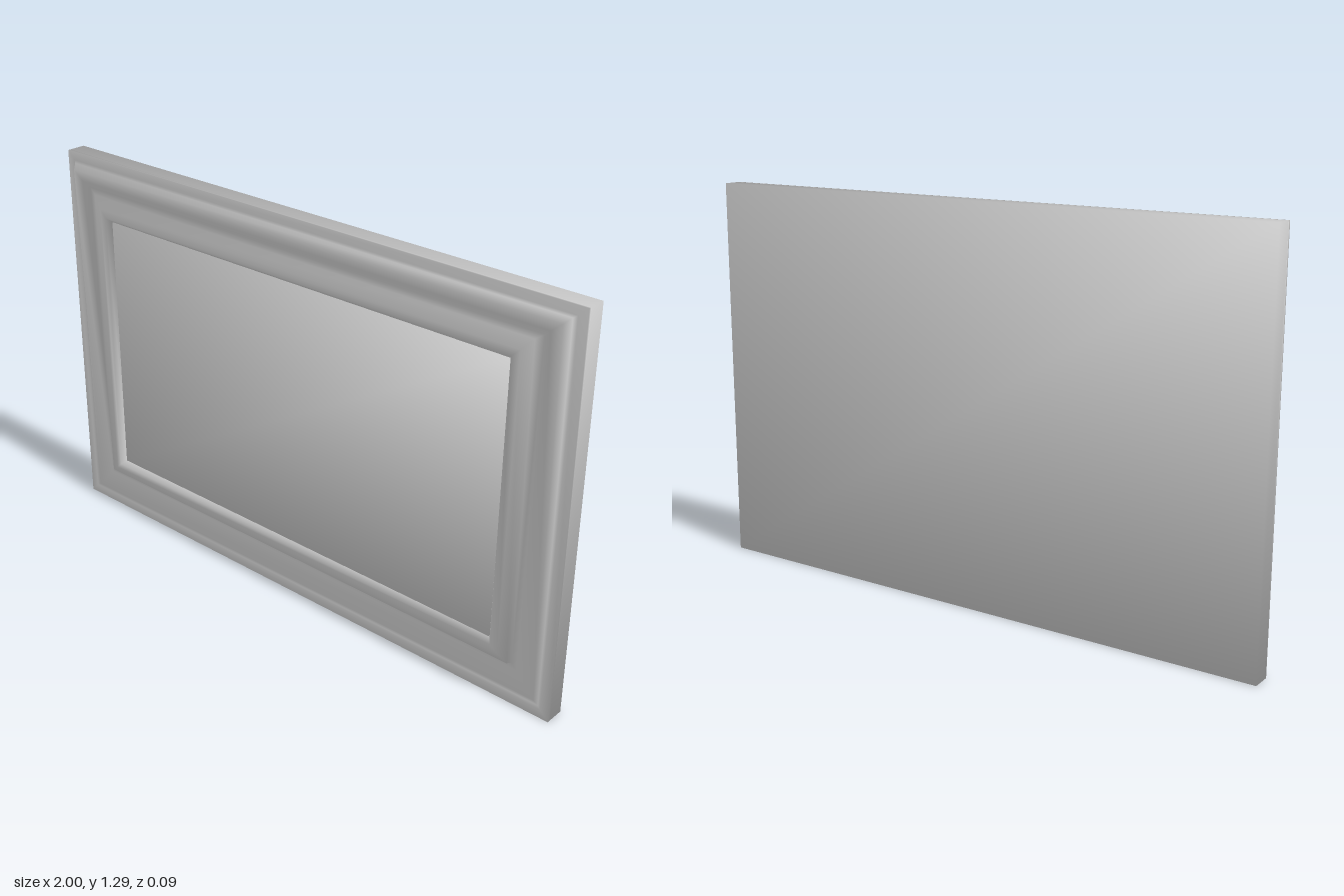
import * as THREE from 'three';

const HEIGHT = 1.295;

// Box whose corner normals point diagonally outward, giving soft shading
function softBox(width, height, depth) {
  const geometry = new THREE.BoxGeometry(width, height, depth);
  const p = geometry.attributes.position;
  const n = geometry.attributes.normal;
  const k = 1 / Math.sqrt(3);
  for (let i = 0; i < p.count; i++) {
    n.setXYZ(i, k * Math.sign(p.getX(i)), k * Math.sign(p.getY(i)), k * Math.sign(p.getZ(i)));
  }
  return geometry;
}

// Rectangular rings joined from the outer edge to the inner opening.
// Each ring: [half width, y, z] at the top corners, then at the bottom corners
function mouldingGeometry(rings) {
  const positions = [];
  const index = [];
  for (const [wt, yt, zt, wb, yb, zb] of rings) {
    positions.push(wt, yt, zt, -wt, yt, zt, -wb, yb, zb, wb, yb, zb);
  }
  for (let r = 0; r < rings.length - 1; r++) {
    for (let i = 0; i < 4; i++) {
      const a = r * 4 + i;
      const b = r * 4 + ((i + 1) % 4);
      index.push(a, b, b + 4, a, b + 4, a + 4);
    }
  }
  const geometry = new THREE.BufferGeometry();
  geometry.setAttribute('position', new THREE.Float32BufferAttribute(positions, 3));
  geometry.setIndex(index);
  geometry.computeVertexNormals();
  return geometry;
}

export function createModel() {
  const group = new THREE.Group();
  group.name = 'pictureFrame';
  const grey = new THREE.MeshStandardMaterial({ color: 0xcccccc });
  grey.name = 'light grey';

  const add = (name, geometry, x = 0, y = 0, z = 0) => {
    const mesh = new THREE.Mesh(geometry, grey);
    mesh.name = name;
    mesh.position.set(x, y, z);
    group.add(mesh);
  };

  // Backing board
  add('backBoard', softBox(2, HEIGHT, 0.057), 0, HEIGHT / 2, -0.0175);

  // Moulding: the outer band stands high at the top and sinks toward the bottom
  add('moulding', mouldingGeometry([
    [1, HEIGHT, 0.011, 1, 0, 0.011],              // outer edge
    [1, HEIGHT, 0.02, 1, 0, 0.02],                // rim
    [0.97, 1.267, 0.02, 0.97, 0.03, 0.02],        // rim inner edge
    [0.96, 1.26, 0.027, 0.96, 0.037, 0.016],      // band foot
    [0.945, 1.245, 0.046, 0.945, 0.05, 0.019],    // band crest
    [0.91, 1.215, 0.043, 0.88, 0.12, 0.018],      // band inner edge
    [0.885, 1.193, 0.03, 0.86, 0.14, 0.016],      // groove
    [0.86, 1.175, 0.035, 0.855, 0.145, 0.035],    // bead outer edge
    [0.825, 1.137, 0.045, 0.825, 0.168, 0.042],   // bead crest
    [0.799, 1.112, 0.047, 0.799, 0.192, 0.047],   // bead inner edge
    [0.785, 1.095, 0.026, 0.785, 0.205, 0.026],   // opening
  ]));

  // Picture panel inside the opening
  add('panel', softBox(1.572, 0.892, 0.04), 0, 0.65, 0.01);

  return group;
}
